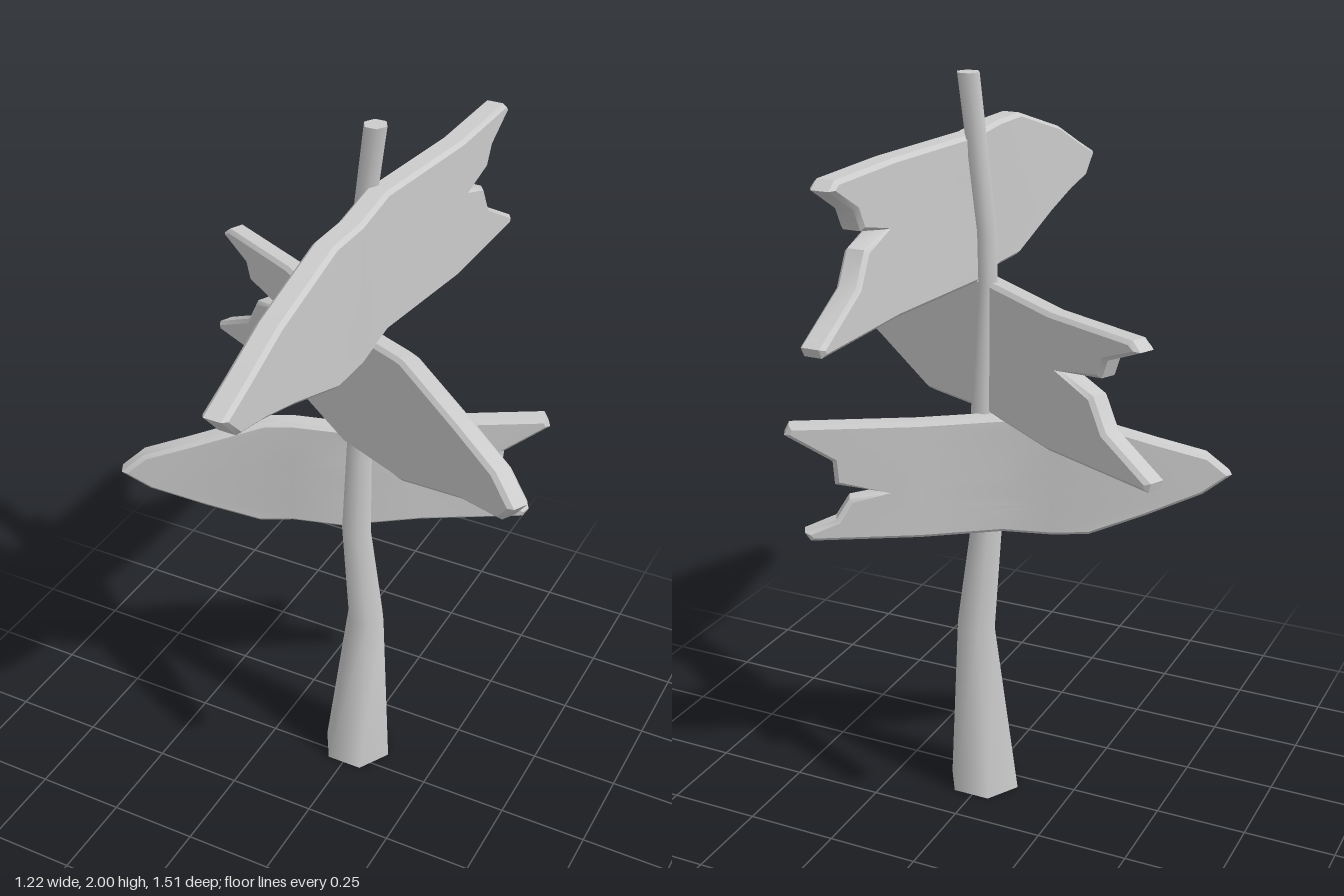
import * as THREE from 'three';
import { toCreasedNormals } from 'three/addons/utils/BufferGeometryUtils.js';

const material = new THREE.MeshStandardMaterial({ color: 0xcccccc });

// Split triangles along the line x = c so that a board can bend there
function splitAt(tris, c) {
  const out = [];
  for (const tri of tris) {
    const parts = [[], []];
    tri.forEach((p, i) => {
      const q = tri[(i + 1) % 3];
      const a = p.x - c, b = q.x - c;
      if (a <= 0) parts[0].push(p);
      if (a >= 0) parts[1].push(p);
      if (a * b < 0) {
        const m = p.clone().lerp(q, a / (a - b));
        m.x = c;
        parts[0].push(m);
        parts[1].push(m);
      }
    });
    for (const poly of parts) {
      for (let i = 2; i < poly.length; i++) out.push([poly[0], poly[i - 1], poly[i]]);
    }
  }
  return out;
}

// Height of a polyline at position u, with its ends extended
function pathAt(path, u) {
  let i = 1;
  while (i < path.length - 1 && u > path[i][0]) i++;
  const [a, b] = [path[i - 1], path[i]];
  return a[1] + (b[1] - a[1]) * (u - a[0]) / (b[0] - a[0]);
}

// Bevelled plank cut to an outline, then bent in plan along a path
function board(name, outline, path, thickness, stretch = 1) {
  const bevel = 0.01;
  const shape = new THREE.Shape(outline.map(([u, v]) => new THREE.Vector2(u * stretch, v)));
  const flat = new THREE.ExtrudeGeometry(shape, {
    depth: thickness - 2 * bevel, bevelEnabled: true, bevelSegments: 1,
    bevelSize: bevel, bevelThickness: bevel, bevelOffset: -bevel,
  });
  flat.translate(0, 0, bevel - thickness / 2);
  const src = flat.attributes.position;
  let tris = [];
  for (let i = 0; i < src.count; i += 3) {
    tris.push([0, 1, 2].map(k => new THREE.Vector3().fromBufferAttribute(src, i + k)));
  }
  path.slice(1, -1).forEach(([u]) => { tris = splitAt(tris, u); });

  const points = tris.flat().map(p => {
    const slope = (pathAt(path, p.x + 0.01) - pathAt(path, p.x - 0.01)) / 0.02;
    const len = Math.hypot(1, slope);
    return new THREE.Vector3(p.x - p.z * slope / len, p.y, pathAt(path, p.x) + p.z / len);
  });
  const geometry = new THREE.BufferGeometry().setFromPoints(points);
  const mesh = new THREE.Mesh(toCreasedNormals(geometry, 0.6), material);
  mesh.name = name;
  return mesh;
}

// Crooked six-sided post: rings of [y, x, z, radius]
function post() {
  const rings = [
    [0, 0.003, -0.055, 0.103], [0.5, 0.02, -0.071, 0.056], [0.8, -0.01, -0.067, 0.045],
    [1.1, 0, -0.065, 0.037], [1.47, -0.014, -0.065, 0.027], [1.6, -0.013, -0.067, 0.028],
    [2, 0.033, -0.076, 0.031],
  ];
  const n = rings.length - 1;
  const geometry = new THREE.CylinderGeometry(1, 1, n, 6, n, false, Math.PI / 6);
  const pos = geometry.attributes.position;
  for (let i = 0; i < pos.count; i++) {
    const [y, x, z, r] = rings[Math.round(pos.getY(i) + n / 2)];
    pos.setXYZ(i, x + pos.getX(i) * r, y, z + pos.getZ(i) * r);
  }
  const mesh = new THREE.Mesh(toCreasedNormals(geometry, 1.15), material);
  mesh.name = 'post';
  return mesh;
}

export function createModel() {
  const model = new THREE.Group();
  model.name = 'signpost';
  model.add(post());

  // Top board points to the front
  const top = board('topBoard', [
    [0.753, 1.655], [0.653, 1.7], [0.51, 1.767], [0.255, 1.846], [-0.668, 1.846], [-0.695, 1.825],
    [-0.589, 1.761], [-0.562, 1.708], [-0.45, 1.687], [-0.546, 1.66], [-0.589, 1.58],
    [-0.759, 1.482], [-0.748, 1.459], [0.25, 1.464], [0.456, 1.533], [0.59, 1.57], [0.695, 1.59],
  ], [[-0.75, -0.095], [-0.4, -0.092], [-0.05, -0.052], [0.13, -0.073], [0.75, -0.06]], 0.065);
  top.rotation.y = -Math.PI / 2;
  model.add(top);

  // Middle board points to the left, in front of the post
  model.add(board('middleBoard', [
    [0.607, 1.3], [0.54, 1.363], [0.406, 1.411], [0.204, 1.475], [-0.544, 1.475], [-0.57, 1.452],
    [-0.47, 1.406], [-0.453, 1.358], [-0.32, 1.337], [-0.427, 1.305], [-0.47, 1.225],
    [-0.613, 1.146], [-0.607, 1.122], [0.21, 1.122], [0.432, 1.215], [0.57, 1.247],
  ], [[-0.59, -0.385], [-0.28, -0.235], [0, -0.028], [0.18, 0.05], [0.6, 0.285]], 0.06, 0.98));

  // Lower board points to the right, behind the post
  model.add(board('lowerBoard', [
    [-0.618, 0.965], [-0.56, 1.02], [-0.443, 1.06], [-0.263, 1.125], [0.416, 1.125], [0.427, 1.1],
    [0.32, 1.024], [0.316, 0.96], [0.204, 0.934], [0.284, 0.918], [0.316, 0.86],
    [0.39, 0.826], [0.376, 0.802], [-0.28, 0.802], [-0.416, 0.854], [-0.55, 0.912],
  ], [[-0.595, 0.17], [-0.19, -0.04], [-0.06, -0.075], [0.12, -0.203], [0.42, -0.375]], 0.056, 0.98));

  return model;
}
